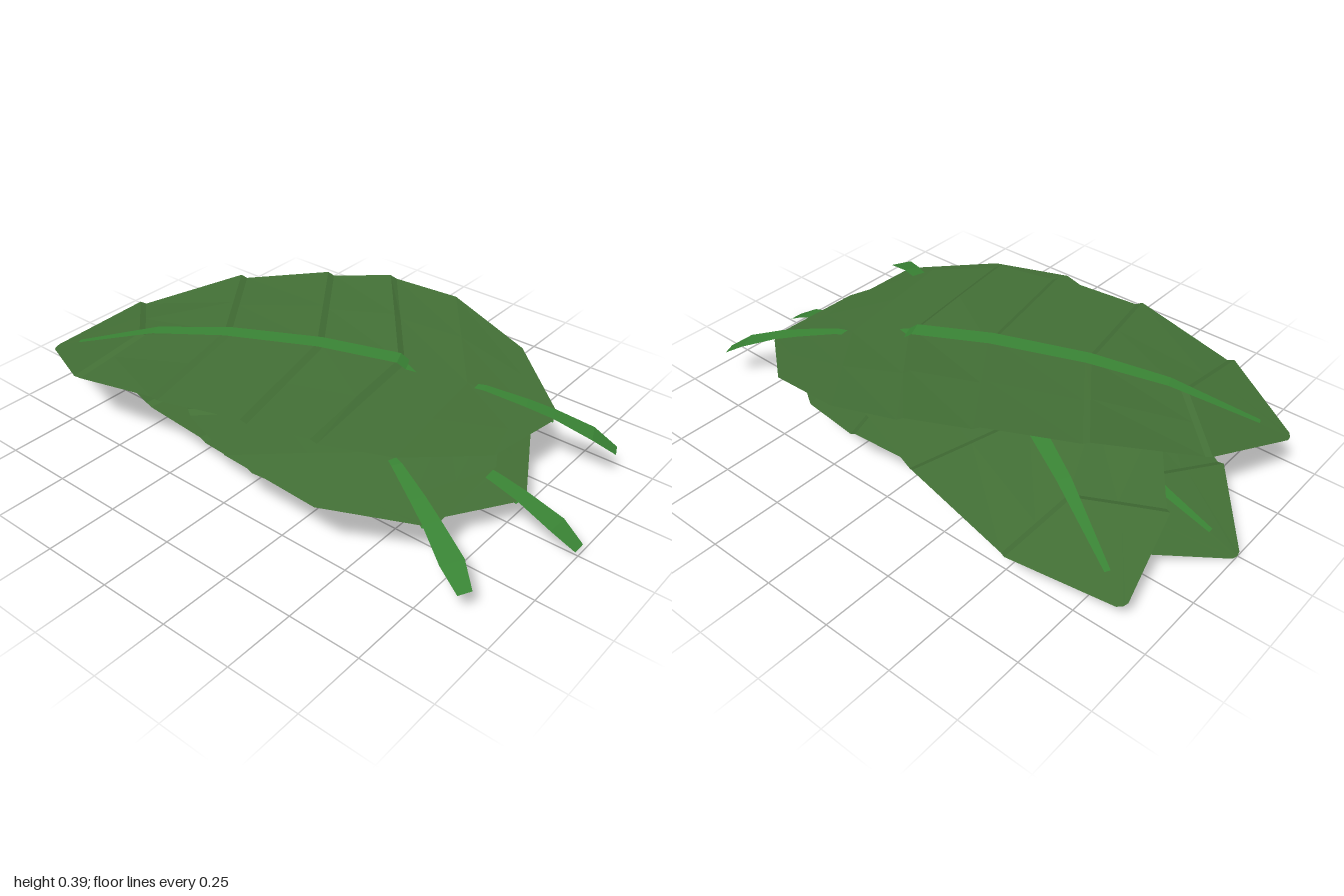
import * as THREE from 'three';

const material = (color) => new THREE.MeshStandardMaterial({ color, flatShading: true, side: THREE.DoubleSide });

// Arch of the leaf along its length: [z, height]
const arch = [[-1, 0], [-0.77, 0.085], [-0.53, 0.165], [-0.2, 0.21], [0.16, 0.225], [0.4, 0.2], [0.64, 0.15], [0.79, 0.12], [0.93, 0.075], [1, 0.03]];

// Half outline: [z at midrib, z at edge, half width, has a vein step]
const outline = [
  [-1, -0.995, 0.02, false], [-0.65, -0.77, 0.27, true], [-0.33, -0.42, 0.42, true], [0, -0.1, 0.48, true],
  [0.28, 0.13, 0.51, true], [0.5, 0.37, 0.475, false], [0.68, 0.64, 0.3, false], [0.79, 0.79, 0.03, false],
];

// Midrib and stem: [z, half width, lift above the blade]
const rib = [
  [-0.9, 0.01, 0.008], [-0.6, 0.024, 0.01], [-0.33, 0.03, 0.01], [0, 0.032, 0.011], [0.27, 0.032, 0.011], [0.3, 0.03, -0.006],
  [0.5, 0.012, -0.006], [0.56, 0.018, 0.006], [0.7, 0.026, 0.008], [0.79, 0.03, 0.004], [0.92, 0.04, 0], [1, 0.024, 0],
];

function archHeight(z) {
  let i = 0;
  while (i < arch.length - 2 && z > arch[i + 1][0]) i++;
  const [z0, y0] = arch[i], [z1, y1] = arch[i + 1];
  return THREE.MathUtils.lerp(y0, y1, (z - z0) / (z1 - z0));
}

// Joins rows of points into one sheet facing up
function sheet(rows) {
  const n = rows[0].length, index = [];
  for (let i = 0; i < rows.length - 1; i++) {
    for (let j = 0; j < n - 1; j++) {
      const a = i * n + j, b = a + n;
      index.push(a, b, a + 1, b, b + 1, a + 1);
    }
  }
  const g = new THREE.BufferGeometry();
  g.setAttribute('position', new THREE.Float32BufferAttribute(rows.flat(2), 3));
  g.setIndex(index);
  g.computeVertexNormals();
  return g;
}

function leaf(name, { turn, lift, tilt, roll, twist, droop, z }, bladeMaterial, ribMaterial) {
  const group = new THREE.Group();
  group.name = name;
  const height = (x, s) => archHeight(s) + lift - tilt * s + (roll + twist * s) * x - droop * Math.abs(x);
  const add = (part, rows, mat) => {
    const mesh = new THREE.Mesh(sheet(rows), mat);
    mesh.name = part;
    group.add(mesh);
  };

  // Blade, with a small step down at each pair of side veins
  const rows = [];
  const addRow = ([mid, edge, width], shift, step) => rows.push([-1, -0.5, 0, 0.5, 1].map((f) => {
    const x = f * width, s = THREE.MathUtils.lerp(mid, edge, Math.abs(f)) + shift;
    return [x, height(x, s) + step, s];
  }));
  for (const station of outline) {
    if (station[3]) {
      addRow(station, -0.011, 0.006);
      addRow(station, 0.011, -0.006);
    } else addRow(station, 0, 0);
  }
  add('blade', rows, bladeMaterial);

  // Midrib running out into the stem, and its ridge under the blade
  const ribRow = (s, w, up) => [-1, 1].map((f) => [f * w, height(0, s) + up, s]);
  add('midribAndStem', rib.map(([s, w, up]) => ribRow(s, w, up)), ribMaterial);
  add('midribUnderside', rib.slice(0, 10).map(([s, w]) => ribRow(s, w, -0.01)), ribMaterial);

  group.rotation.y = turn;
  group.position.z = z;
  return group;
}

export function createModel() {
  const model = new THREE.Group();
  model.name = 'leafPile';
  const green = material(0x437036), brightGreen = material(0x3a8535);
  model.add(
    leaf('bottomLeaf', { turn: 0, lift: 0, tilt: 0, roll: 0, twist: 0, droop: 0.05, z: 0 }, green, brightGreen),
    leaf('middleLeaf', { turn: -0.475, lift: 0.078, tilt: 0, roll: -0.01, twist: -0.06, droop: 0.01, z: 0 }, green, brightGreen),
    leaf('topLeaf', { turn: 0.41, lift: 0.14, tilt: 0.045, roll: 0.04, twist: 0.04, droop: 0, z: -0.015 }, green, brightGreen),
  );
  return model;
}
